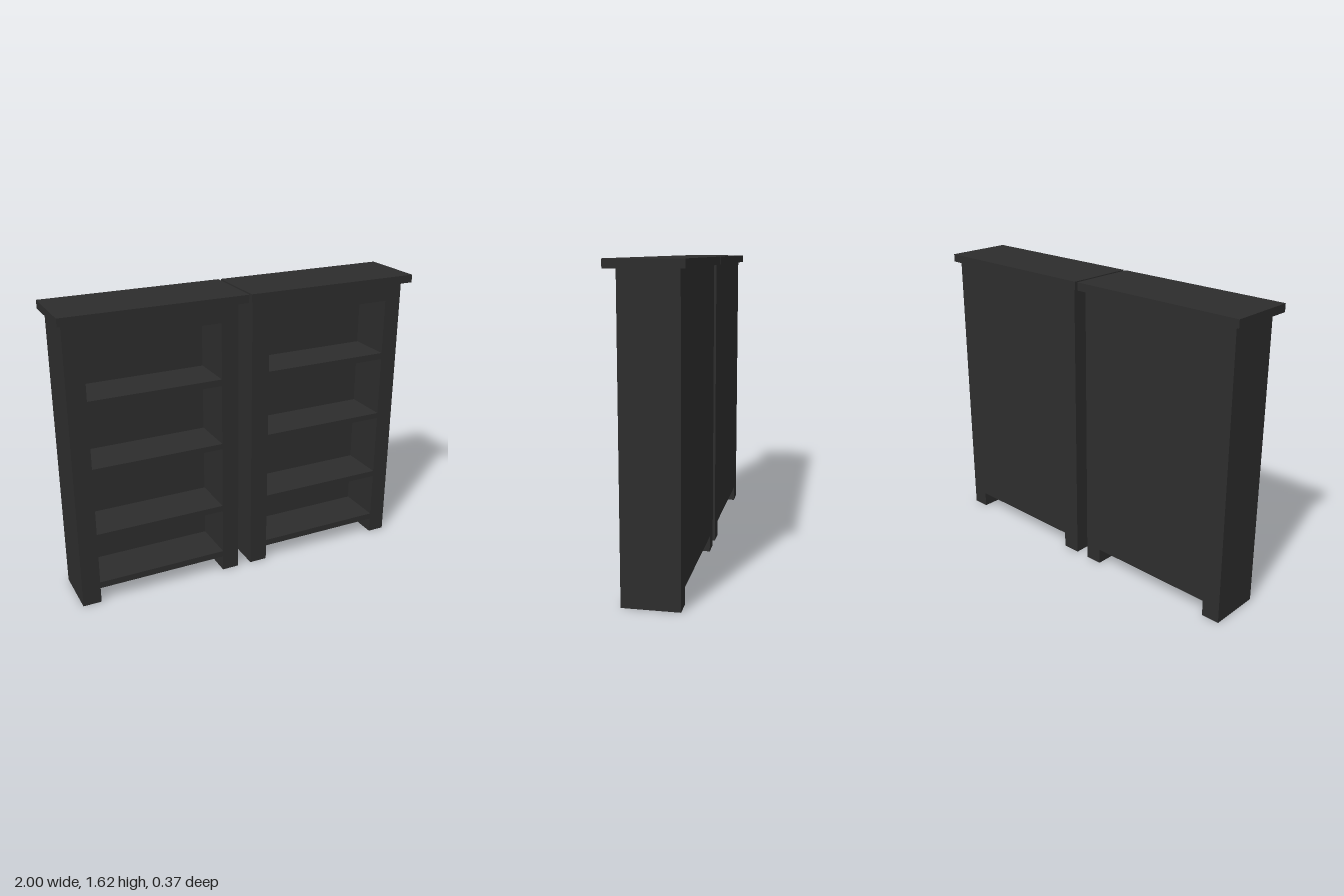
import * as THREE from 'three';

const FRONT = 0.13, BACK = -0.16, PANEL = 0.04; // body depth range and back panel thickness
const HALF = 0.465, BODY_TOP = 1.577, TOP = 1.62;
const IN_L = -0.363, IN_R = 0.368, LEG = 0.087; // opening sides and leg height
const OPENINGS = [[0.123, 0.382], [0.417, 0.765], [0.797, 1.131], [1.168, 1.473]];

// Cabinet outline with the gap between the legs cut out of the bottom
function outline() {
  const points = [
    [-HALF, 0], [IN_L, 0], [IN_L, LEG], [IN_R, LEG],
    [IN_R, 0], [HALF, 0], [HALF, BODY_TOP], [-HALF, BODY_TOP],
  ];
  return new THREE.Shape(points.map(([x, y]) => new THREE.Vector2(x, y)));
}

function slab(name, shape, z0, z1, material) {
  const geometry = new THREE.ExtrudeGeometry(shape, { depth: z1 - z0, bevelEnabled: false });
  geometry.translate(0, 0, z0);
  const mesh = new THREE.Mesh(geometry, material);
  mesh.name = name;
  return mesh;
}

function bookcase(name, side, material) {
  const unit = new THREE.Group();
  unit.name = name;

  // Frame and shelves: one slab pierced by the four compartments
  const frameShape = outline();
  for (const [y0, y1] of OPENINGS) {
    frameShape.holes.push(new THREE.Path([
      new THREE.Vector2(IN_L, y0), new THREE.Vector2(IN_L, y1),
      new THREE.Vector2(IN_R, y1), new THREE.Vector2(IN_R, y0),
    ]));
  }
  unit.add(slab('frameAndShelves', frameShape, BACK + PANEL, FRONT, material));
  unit.add(slab('backPanel', outline(), BACK, BACK + PANEL, material));

  // Overhanging top board
  const top = new THREE.Mesh(new THREE.BoxGeometry(0.992, TOP - BODY_TOP, 0.372), material);
  top.name = 'topBoard';
  top.position.set(-side * 0.001, (TOP + BODY_TOP) / 2, 0);
  unit.add(top);

  unit.position.x = side * 0.505;
  return unit;
}

export function createModel() {
  const blackWood = new THREE.MeshStandardMaterial({ color: 0x2d2d2d });
  blackWood.name = 'blackWood';
  const model = new THREE.Group();
  model.name = 'bookcasePair';
  model.add(bookcase('rightBookcase', -1, blackWood), bookcase('leftBookcase', 1, blackWood));
  return model;
}
